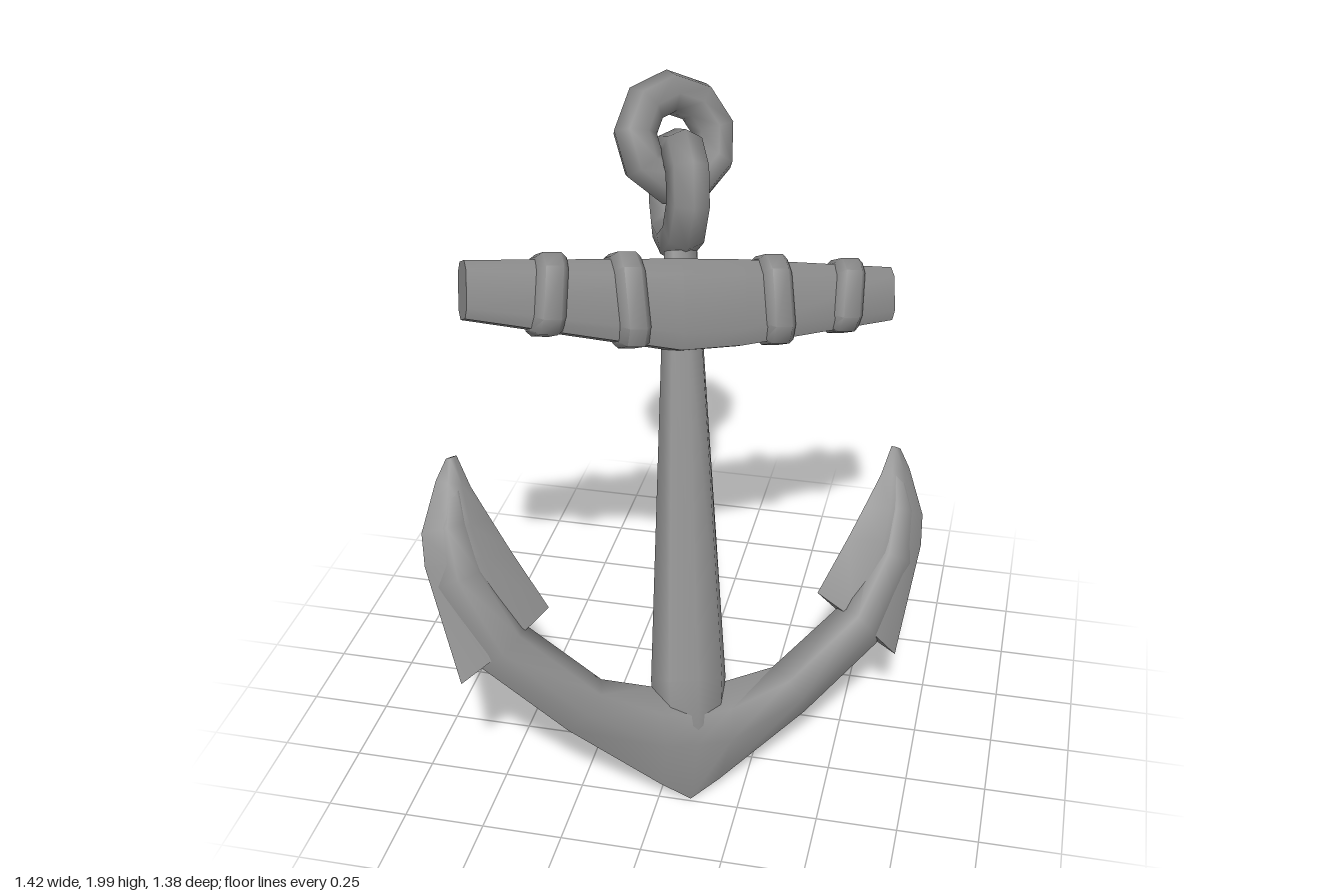
import * as THREE from 'three';
import { toCreasedNormals } from 'three/addons/utils/BufferGeometryUtils.js';

const material = new THREE.MeshStandardMaterial({ color: 0x868686 });

function addMesh(parent, name, geometry) {
  const mesh = new THREE.Mesh(geometry, material);
  mesh.name = name;
  parent.add(mesh);
  return mesh;
}

// Skin a list of equal-sized rings of [x, y, z] points and cap both ends
function loft(rings, crease) {
  const n = rings[0].length;
  const index = [];
  for (let i = 0; i < rings.length - 1; i++) {
    for (let j = 0; j < n; j++) {
      const k = (j + 1) % n, p = i * n, q = p + n;
      index.push(p + j, q + j, q + k, p + j, q + k, p + k);
    }
  }
  const last = (rings.length - 1) * n;
  for (let j = 1; j < n - 1; j++) {
    index.push(0, j, j + 1, last, last + j + 1, last + j);
  }
  const geometry = new THREE.BufferGeometry();
  geometry.setAttribute('position', new THREE.Float32BufferAttribute(rings.flat(2), 3));
  geometry.setIndex(index);
  return toCreasedNormals(geometry.toNonIndexed(), crease);
}

// Six-sided ring between an outer and an inner edge; c is the half thickness
function bladeRing([ox, oy, ix, iy, c, lo = 0.35, hi = 0.75], side = 1) {
  return [[0, 0], [lo, c], [hi, c], [1, 0], [hi, -c], [lo, -c]].map(([u, z]) =>
    [side * (ox + (ix - ox) * u), oy + (iy - oy) * u, z]);
}

// Chamfered rectangle ring for the stock and its bands
function beamRing(x, y, h, t, z, lean = 0) {
  return [[-1, -0.55], [-1, 0.55], [-0.65, 1], [0.65, 1], [1, 0.55], [1, -0.55], [0.65, -1], [-0.65, -1]]
    .map(([v, w]) => [x + lean * v, y + v * h, z + w * t]);
}

export function createModel() {
  const model = new THREE.Group();
  model.name = 'anchor';

  // Leaning frame: x along the stock, y up the shank, origin at the crown
  const anchor = new THREE.Group();
  anchor.name = 'leaningAnchor';
  const x = new THREE.Vector3(0.834, -0.171, -0.524).normalize();
  const z = new THREE.Vector3().crossVectors(x, new THREE.Vector3(-0.119, 0.869, -0.48)).normalize();
  const y = new THREE.Vector3().crossVectors(z, x);
  anchor.quaternion.setFromRotationMatrix(new THREE.Matrix4().makeBasis(x, y, z));
  anchor.position.set(0.1, 0.003, 0.49);
  model.add(anchor);

  // Shank: tapering eight-sided bar running down into the crown
  const shank = [[0.06, 0.03, 0.015], [0.24, 0.115, 0.08], [0.38, 0.126, 0.085],
    [1.45, 0.07, 0.056], [1.72, 0.056, 0.05]];
  addMesh(anchor, 'shank', loft(shank.map(([h, a, c]) =>
    Array.from({ length: 8 }, (_, i) => {
      const t = (i / 8) * Math.PI * 2;
      return [a * Math.cos(t), h, c * Math.sin(t)];
    })), 1.2));

  // Arms: one bar curving up on both sides and forming the ridge of each fluke
  const arm = [
    [0.1, 0.055, 0.12, 0.36, 0.075, 0.42],
    [0.4, 0.245, 0.29, 0.395, 0.072],
    [0.665, 0.45, 0.535, 0.58, 0.066],
    [0.805, 0.7, 0.65, 0.76, 0.054],
    [0.825, 0.87, 0.695, 0.9, 0.042],
    [0.765, 1.06, 0.735, 1.06, 0.012],
  ];
  addMesh(anchor, 'arms', loft([
    ...arm.slice().reverse().map((s) => bladeRing(s, -1)),
    bladeRing([0, 0, 0, 0.36, 0.075, 0.5]),
    ...arm.map((s) => bladeRing(s)),
  ], 1.3));

  // Flukes: thin barbed arrowheads in the plane of the arms
  const fluke = [
    [0.733, 0.41, 0.455, 0.625, 0.03, 0.3, 0.6],
    [0.838, 0.765, 0.57, 0.8, 0.045, 0.3, 0.6],
    [0.846, 0.865, 0.632, 0.9, 0.038, 0.3, 0.65],
    [0.8, 1.02, 0.693, 1.0, 0.022, 0.3, 0.7],
    [0.768, 1.085, 0.735, 1.095, 0.008, 0.3, 0.7],
  ];
  for (const [name, side] of [['leftFluke', 1], ['rightFluke', -1]]) {
    const rings = fluke.map((s) => bladeRing(s, side));
    addMesh(anchor, name, loft(side > 0 ? rings : rings.reverse(), 1));
  }

  // Stock: beam deepest at the middle, lying across the front of the shank
  const profile = [[-0.722, 1.585, 0.087, 0.046, 0.053], [-0.03, 1.548, 0.142, 0.056, 0.042],
    [0.18, 1.557, 0.135, 0.056, 0.038], [0.718, 1.592, 0.086, 0.046, 0.025]];
  addMesh(anchor, 'stock', loft(profile.map((s) => beamRing(...s)), 0.85));

  const stockAt = (a) => {
    const i = a < -0.03 ? 0 : a < 0.18 ? 1 : 2;
    const f = (a - profile[i][0]) / (profile[i + 1][0] - profile[i][0]);
    return profile[i].map((v, k) => v + (profile[i + 1][k] - v) * f);
  };

  // Bands: lashings wrapped round the stock
  [[-0.46, 0.008], [-0.2, -0.012], [0.296, -0.008], [0.55, 0.01]].forEach(([a, lean], i) => {
    const [, b, h, t, c] = stockAt(a);
    const rings = [[-0.05, 0], [-0.028, 1], [0.028, 1], [0.05, 0]].map(([d, out]) =>
      beamRing(a + d, b + 0.004, h + 0.002 + 0.015 * out, t + 0.003 + 0.024 * out, c, lean));
    addMesh(anchor, 'band' + (i + 1), loft(rings, 0.95));
  });

  // Two interlocked chain links above the shank
  const link = new THREE.TorusGeometry(0.145, 0.071, 7, 9);
  const lower = addMesh(anchor, 'lowerLink', link);
  lower.position.set(0.01, 1.905, -0.033);
  lower.rotation.y = Math.PI / 2 - 0.15;
  const upper = addMesh(anchor, 'upperLink', link);
  upper.position.set(0, 2.08, -0.03);
  upper.rotation.set(0, 0.12, 0.3);

  return model;
}
